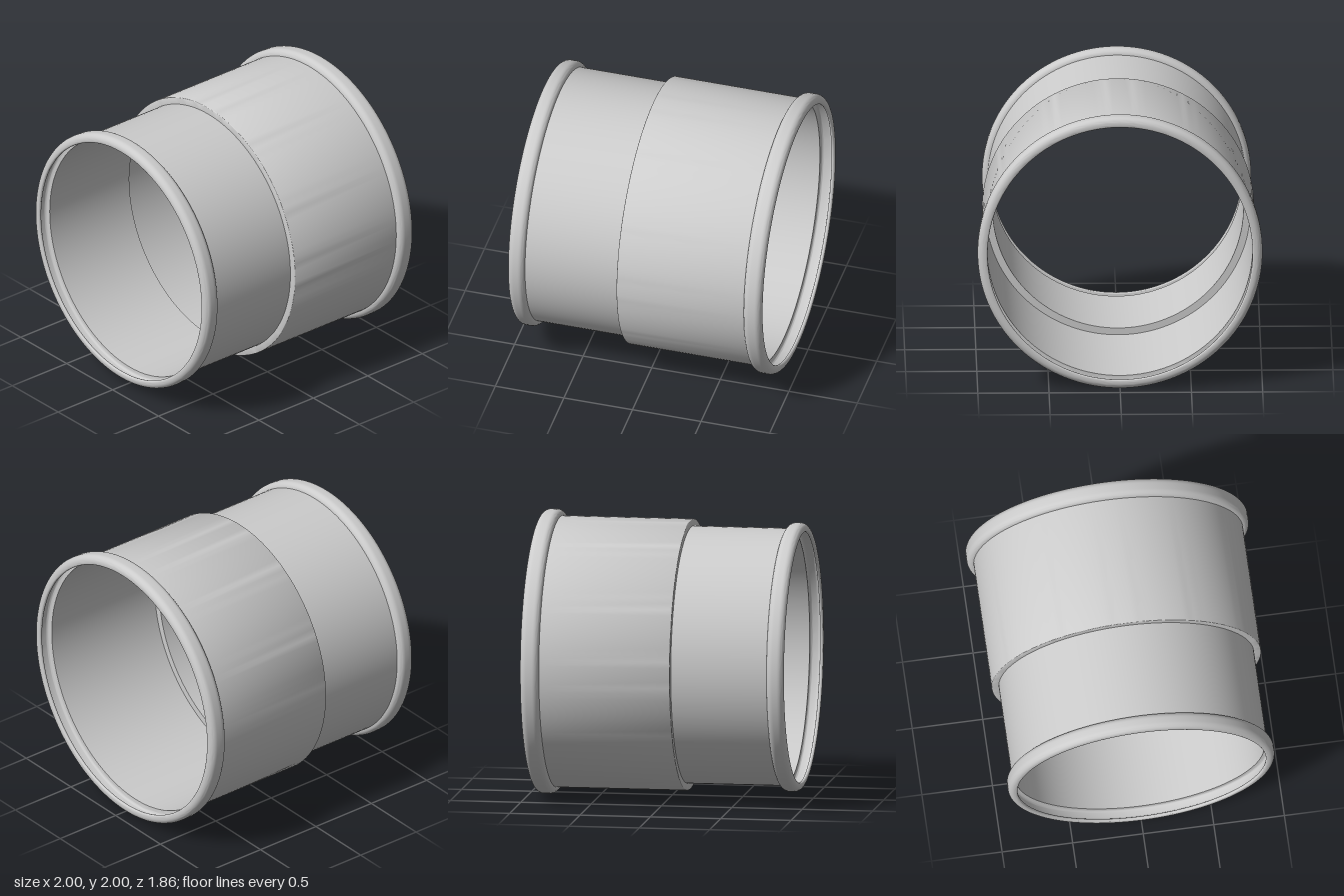
import * as THREE from 'three';
import { toCreasedNormals } from 'three/addons/utils/BufferGeometryUtils.js';

const WALL = 0.025; // pipe wall thickness

// Points of an arc in (radius, z), angles in degrees
function arc(r, z, size, from, to, steps = 8) {
  return Array.from({ length: steps + 1 }, (_, i) => {
    const a = THREE.MathUtils.degToRad(from + ((to - from) * i) / steps);
    return new THREE.Vector2(r + size * Math.cos(a), z + size * Math.sin(a));
  });
}

// Rolled bead at a pipe end: round outside, end lip, seal groove inside
function beadProfile(tubeRadius, beadRadius, zStart, zEnd) {
  const inner = tubeRadius - WALL;
  const c = 0.045, g = 0.02, lip = WALL / 2;
  const grooveR = beadRadius - WALL - g;
  return [
    new THREE.Vector2(tubeRadius, zStart),
    ...arc(beadRadius - c, zStart + c, c, -90, 0),
    ...arc(beadRadius - c, zEnd - c, c, 0, 90),
    ...arc(inner + lip, zEnd - lip, lip, 90, 270),
    ...arc(grooveR, zEnd - WALL - g, g, 90, 0),
    ...arc(grooveR, zStart + WALL + g, g, 0, -90),
    new THREE.Vector2(inner, zStart + WALL),
  ];
}

export function createModel() {
  const group = new THREE.Group();
  group.name = 'pipeCoupling';

  const narrow = 0.905, wide = 0.955, step = 0.13;
  const frontEnd = beadProfile(narrow, 0.945, 0.81, 0.932);
  const backEnd = beadProfile(wide, 1.0, 0.80, 0.932)
    .map((p) => new THREE.Vector2(p.x, -p.y))
    .reverse();

  // Closed wall section: front bead, inner ledge, back bead, outer shoulder
  const raw = [
    ...frontEnd,
    new THREE.Vector2(narrow - WALL, step - WALL),
    new THREE.Vector2(wide - WALL, step - WALL),
    ...backEnd,
    ...arc(wide - 0.006, step - 0.006, 0.006, 0, 90, 4),
    new THREE.Vector2(narrow, step),
    frontEnd[0].clone(),
  ];
  // Drop coincident neighbours
  const profile = raw.filter((p, i) => i === 0 || p.distanceTo(raw[i - 1]) > 1e-5);

  const lathe = new THREE.LatheGeometry(profile, 128);
  lathe.rotateX(Math.PI / 2);
  const body = new THREE.Mesh(
    toCreasedNormals(lathe, THREE.MathUtils.degToRad(35)),
    new THREE.MeshStandardMaterial({ color: 0xcccccc })
  );
  body.name = 'steppedSleeve';
  body.position.y = 1;
  group.add(body);
  return group;
}
